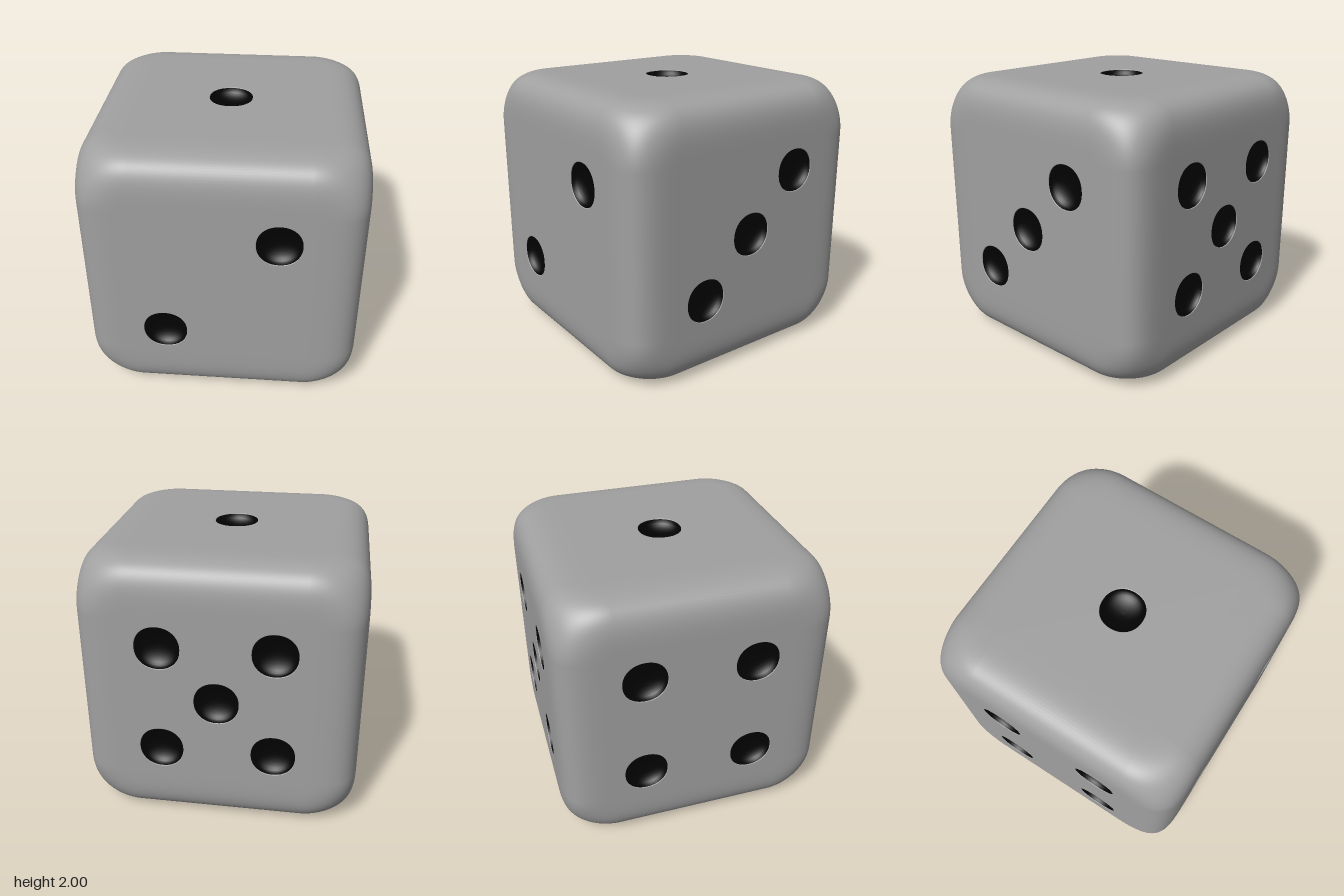
import * as THREE from 'three';
import { mergeGeometries } from 'three/addons/utils/BufferGeometryUtils.js';

const HALF = 1;         // half the cube's side
const ROUND = 0.4;      // reach of the edge rounding
const POWER = 3.9;      // tightness of the edges
const CORNER = 2.8;     // extra softness of the corners
const FLAT = HALF - ROUND;
const PIP = 0.157;      // pip radius
const LIP = 0.005;      // rounded lip around each pip
const DEPTH = 0.08;     // depth of the pip's bowl
const SIDES = 48;
const STEPS = 14;

// Slightly squarish circle: radius factor at an angle
const squarish = (a) =>
  (Math.abs(Math.cos(a)) ** 2.14 + Math.abs(Math.sin(a)) ** 2.14) ** (-1 / 2.14);

// Pulls a point of the rounding cube (each value 0..1) onto the rounded surface
function roundOff(t) {
  for (let k = 0; k < 20; k++) {
    const sum = t.reduce((s, c) => s + c ** POWER, 0) + CORNER * (t[0] * t[1] * t[2]) ** 2;
    t = t.map((c) => c / sum ** 0.2);
  }
  return t;
}

// Outward direction of the rounded surface
const slope = (t) => t.map((c, i) =>
  POWER * c ** (POWER - 1) + 2 * CORNER * c * (t[(i + 1) % 3] * t[(i + 2) % 3]) ** 2);

// Rounded border of one face (facing +z), surrounding the flat centre
function borderGeometry() {
  const lines = [];
  for (let i = 0; i <= STEPS; i++) lines.push(-HALF + (ROUND * i) / STEPS);
  lines.push(...lines.map((v) => -v).reverse());
  const n = lines.length;
  const positions = [], normals = [], index = [];
  for (const v of lines) {
    for (const u of lines) {
      const cube = [u, v, HALF];
      const t = roundOff(cube.map((c) => Math.max(0, Math.abs(c) - FLAT) / ROUND));
      positions.push(...cube.map((c, i) => THREE.MathUtils.clamp(c, -FLAT, FLAT) + Math.sign(c) * t[i] * ROUND));
      const g = slope(t).map((c, i) => c * Math.sign(cube[i]));
      normals.push(...new THREE.Vector3(...g).normalize().toArray());
    }
  }
  for (let j = 0; j < n - 1; j++) {
    for (let i = 0; i < n - 1; i++) {
      if (i === STEPS && j === STEPS) continue; // flat centre is a separate panel
      const a = j * n + i, b = a + 1, c = a + n, d = c + 1;
      index.push(a, b, d, a, d, c);
    }
  }
  const geo = new THREE.BufferGeometry();
  geo.setAttribute('position', new THREE.Float32BufferAttribute(positions, 3));
  geo.setAttribute('normal', new THREE.Float32BufferAttribute(normals, 3));
  geo.setIndex(index);
  return geo;
}

// Flat centre with a hole for each pip
function panelGeometry(pips) {
  const f = FLAT;
  const shape = new THREE.Shape([[-f, -f], [f, -f], [f, f], [-f, f]].map((p) => new THREE.Vector2(...p)));
  for (const [x, y] of pips) {
    const ring = [];
    for (let k = 0; k < SIDES; k++) {
      const a = (k / SIDES) * Math.PI * 2, r = (PIP + LIP) * squarish(a);
      ring.push(new THREE.Vector2(x + r * Math.cos(a), y + r * Math.sin(a)));
    }
    shape.holes.push(new THREE.Path(ring));
  }
  const geo = new THREE.ShapeGeometry(shape).translate(0, 0, HALF);
  geo.deleteAttribute('uv');
  return geo;
}

// Squarish turned surface facing +z, profile given from the rim inwards
function turned(profile, x, y) {
  const geo = new THREE.LatheGeometry(profile.map((p) => new THREE.Vector2(...p)), SIDES);
  const pos = geo.attributes.position;
  for (let i = 0; i < pos.count; i++) {
    const s = squarish(Math.atan2(pos.getZ(i), pos.getX(i)));
    pos.setX(i, pos.getX(i) * s);
    pos.setZ(i, pos.getZ(i) * s);
  }
  geo.deleteAttribute('uv');
  return geo.rotateX(Math.PI / 2).translate(x, y, HALF);
}

// Quarter-round lip and elliptical bowl
const quarter = [0, 1, 2, 3, 4, 5, 6, 7, 8].map((i) => (i / 8) * Math.PI / 2);
const lipProfile = quarter.map((t) => [PIP + LIP * (1 - Math.sin(t)), -LIP * (1 - Math.cos(t))]);
const bowlProfile = quarter.map((t) => [PIP * Math.cos(t), -LIP - DEPTH * Math.sin(t)]);

export function createModel() {
  const grey = new THREE.MeshStandardMaterial({ color: 0xa0a0a0 });
  const black = new THREE.MeshStandardMaterial({ color: 0x020202 });
  const d = 0.4;
  const two = [[d, d], [-d, -d]];
  const four = [...two, [-d, d], [d, -d]];
  const quarterTurn = Math.PI / 2;
  const faces = [
    { name: 'front', pips: two, rx: 0, ry: 0 },
    { name: 'right', pips: [...two, [0, 0]], rx: 0, ry: quarterTurn },
    { name: 'back', pips: [...four, [0, 0]], rx: 0, ry: Math.PI },
    { name: 'left', pips: four, rx: 0, ry: -quarterTurn },
    { name: 'top', pips: [[0, 0]], rx: -quarterTurn, ry: 0 },
    { name: 'bottom', pips: [...four, [0, d], [0, -d]], rx: quarterTurn, ry: 0 },
  ];
  const model = new THREE.Group();
  model.name = 'die';
  const bodyParts = [];
  for (const { name, pips, rx, ry } of faces) {
    const place = (geo) => geo.rotateX(rx).rotateY(ry).translate(0, HALF, 0);
    const lips = pips.map(([x, y]) => turned(lipProfile, x, y));
    bodyParts.push(...[borderGeometry(), panelGeometry(pips), ...lips].map(place));
    const bowls = pips.map(([x, y]) => place(turned(bowlProfile, x, y)));
    const mesh = new THREE.Mesh(mergeGeometries(bowls), black);
    mesh.name = `${name}Pips`;
    model.add(mesh);
  }
  const body = new THREE.Mesh(mergeGeometries(bodyParts), grey);
  body.name = 'body';
  model.add(body);
  return model;
}
